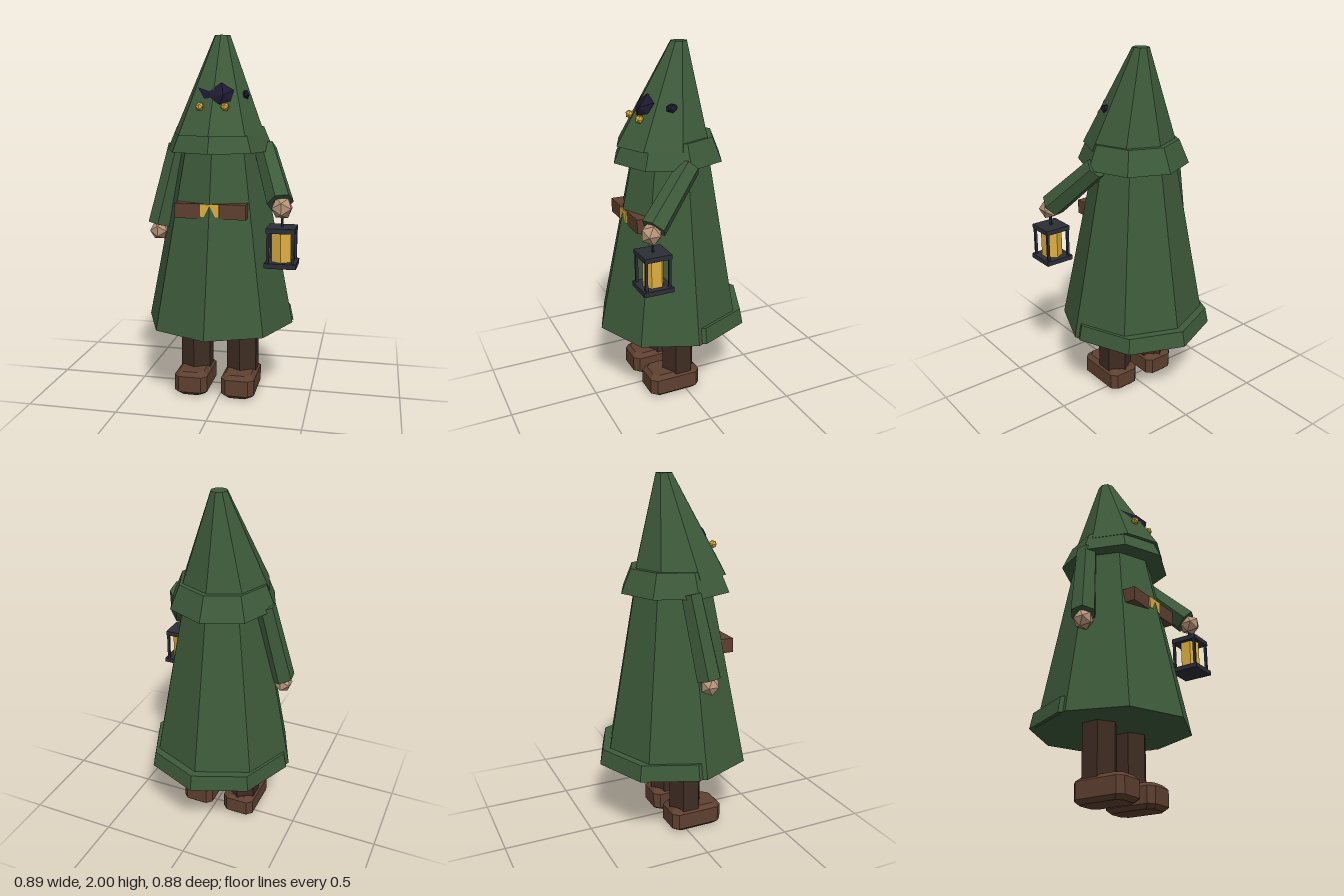
import * as THREE from 'three';
import { ConvexGeometry } from 'three/addons/geometries/ConvexGeometry.js';

const mat = (color) => new THREE.MeshStandardMaterial({ color, flatShading: true });
const CX = -0.027; // body axis

export function createModel() {
  const group = new THREE.Group();
  const green = mat(0x3d5a3a), darkBrown = mat(0x3e2c22), brown = mat(0x5e4030);
  const skin = mat(0xb8957a), iron = mat(0x2b2e36), gold = mat(0xdfb040), dark = mat(0x1d1930);

  const add = (name, geometry, material, x = 0, y = 0, z = 0, parent = group) => {
    const mesh = new THREE.Mesh(geometry, material);
    mesh.name = name;
    mesh.position.set(x, y, z);
    parent.add(mesh);
    return mesh;
  };

  // Eight-sided frustum whose axis leans in z: [y, radius, centre z] for bottom and top
  const leaningFrustum = (name, [y0, r0, z0], [y1, r1, z1], depth = 1) => {
    const h = y1 - y0;
    const g = new THREE.CylinderGeometry(r1, r0, h, 8);
    const p = g.attributes.position;
    for (let i = 0; i < p.count; i++) {
      const t = p.getY(i) / h + 0.5;
      p.setZ(i, p.getZ(i) * depth + z0 + (z1 - z0) * t);
    }
    g.computeVertexNormals();
    return add(name, g, green, CX, (y0 + y1) / 2, 0);
  };
  leaningFrustum('robe', [0.41, 0.418, 0.022], [1.5, 0.204, 0.004]);
  leaningFrustum('robeHem', [0.412, 0.418, -0.024], [0.5, 0.4, -0.024]);
  leaningFrustum('collar', [1.38, 0.3, 0.02], [1.51, 0.245, 0.018], 1.05);
  leaningFrustum('hood', [1.47, 0.253, 0.048], [2.0, 0.044, -0.045], 1.06);

  // Sleeves and hands
  const sleeve = (name, from, to, r0, r1) => {
    const a = new THREE.Vector3(...from), b = new THREE.Vector3(...to);
    const d = b.clone().sub(a);
    const m = add(name, new THREE.CylinderGeometry(r1, r0, d.length(), 6), green);
    m.position.copy(a).add(b).multiplyScalar(0.5);
    m.quaternion.setFromUnitVectors(new THREE.Vector3(0, 1, 0), d.normalize());
  };
  sleeve('rightSleeve', [-0.27, 1.4, 0.0], [-0.367, 0.955, 0.06], 0.06, 0.071);
  sleeve('leftSleeve', [0.225, 1.39, 0.012], [0.345, 1.132, 0.268], 0.063, 0.072);
  add('rightHand', new THREE.IcosahedronGeometry(0.056), skin, -0.37, 0.92, 0.065);
  add('leftHand', new THREE.IcosahedronGeometry(0.06), skin, 0.357, 1.108, 0.287);

  // Belt and buckle, partly sunk into the robe
  add('belt', new THREE.BoxGeometry(0.385, 0.08, 0.11), brown, CX, 1.075, 0.23);
  add('buckle', new THREE.BoxGeometry(0.1, 0.065, 0.04), gold, CX, 1.08, 0.272);

  // Legs and chamfered boots
  const bootPoints = [];
  for (const [y, inset] of [[0, 0.022], [0.022, 0], [0.112, 0], [0.135, 0.022]]) {
    const w = 0.094 - inset, d = 0.153 - inset, c = 0.03;
    for (const sx of [-1, 1]) for (const sz of [-1, 1]) {
      bootPoints.push(new THREE.Vector3(sx * w, y, sz * (d - c)));
      bootPoints.push(new THREE.Vector3(sx * (w - c), y, sz * d));
    }
  }
  const bootGeometry = new ConvexGeometry(bootPoints);
  for (const [side, x] of [['right', -0.162], ['left', 0.106]]) {
    add(side + 'Leg', new THREE.CylinderGeometry(0.097, 0.097, 0.4, 6), darkBrown, x, 0.3, 0.022);
    add(side + 'Boot', bootGeometry, brown, x, 0, 0.067);
  }

  // Eyes and the dark face showing through the hood
  for (const [side, x] of [['right', -0.095], ['left', 0.041]])
    add(side + 'Eye', new THREE.IcosahedronGeometry(0.024), gold, x, 1.62, 0.213);
  const facePiece = (name, pts) =>
    add(name, new ConvexGeometry(pts.map((p) => new THREE.Vector3(...p))), dark);
  facePiece('rightBrow', [
    [-0.165, 1.685, 0.09], [-0.125, 1.72, 0.125], [-0.14, 1.652, 0.15],
    [-0.05, 1.7, 0.176], [-0.04, 1.665, 0.2], [-0.06, 1.68, 0.08],
  ]);
  facePiece('leftBrow', [
    [0.01, 1.745, 0.15], [0.075, 1.705, 0.143], [0.065, 1.65, 0.175], [0.01, 1.632, 0.212],
    [0.03, 1.68, 0.21], [-0.05, 1.7, 0.176], [-0.04, 1.665, 0.2], [0, 1.68, 0.1],
  ]);
  add('sideFacePiece', new THREE.IcosahedronGeometry(1), dark, 0.122, 1.68, 0.062)
    .scale.set(0.022, 0.026, 0.036);

  // Lantern hanging from the left hand
  const lantern = new THREE.Group();
  lantern.name = 'lantern';
  lantern.position.set(0.358, 0, 0.28);
  group.add(lantern);
  add('lanternBase', new THREE.BoxGeometry(0.166, 0.026, 0.166), iron, 0, 0.815, 0, lantern);
  add('lanternCap', new THREE.BoxGeometry(0.15, 0.026, 0.15), iron, 0, 0.997, 0, lantern);
  add('lanternGlass', new THREE.CylinderGeometry(0.058, 0.058, 0.16, 6), gold, 0, 0.905, 0, lantern);
  add('lanternHook', new THREE.CylinderGeometry(0.008, 0.008, 0.08, 6), iron, 0, 1.04, 0, lantern);
  for (const sx of [-1, 1]) for (const sz of [-1, 1])
    add('lanternPost', new THREE.BoxGeometry(0.014, 0.17, 0.014), iron, sx * 0.065, 0.905, sz * 0.065, lantern);

  return group;
}
